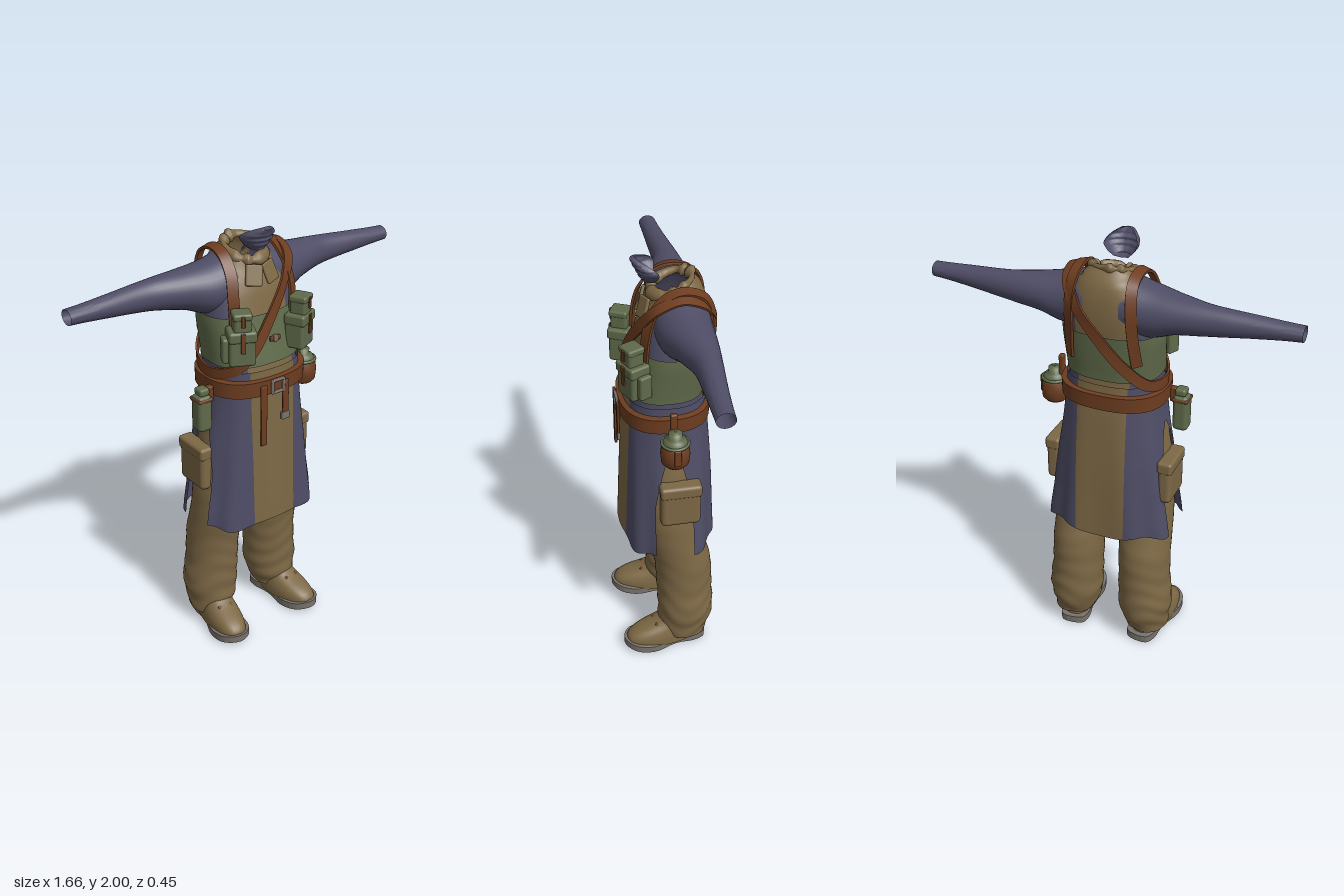
import * as THREE from 'three';
import { mergeVertices, toCreasedNormals } from 'three/addons/utils/BufferGeometryUtils.js';
import { RoundedBoxGeometry } from 'three/addons/geometries/RoundedBoxGeometry.js';

const mat = (name, color) => {
  const m = new THREE.MeshStandardMaterial({ color, side: THREE.DoubleSide });
  m.name = name;
  return m;
};
const { PI, sin, cos, abs, sign, pow, min, max, acos } = Math;

// Surface from a rule fn(u, v) -> [x, y, z], smooth except at sharp edges
function grid(fn, nu, nv, crease = 0.9) {
  const pos = [], idx = [];
  for (let j = 0; j <= nv; j++) for (let i = 0; i <= nu; i++) pos.push(...fn(i / nu, j / nv));
  for (let j = 0; j < nv; j++) for (let i = 0; i < nu; i++) {
    const a = j * (nu + 1) + i, b = a + 1, c = a + nu + 1, d = c + 1;
    idx.push(a, c, b, b, c, d);
  }
  const g = new THREE.BufferGeometry();
  g.setAttribute('position', new THREE.Float32BufferAttribute(pos, 3));
  g.setIndex(idx);
  return toCreasedNormals(mergeVertices(g, 1e-4), crease);
}

// Smooth interpolation of rows [key, ...values]
function profile(rows) {
  return (k) => {
    let i = 0;
    while (i < rows.length - 2 && (k - rows[i + 1][0]) * (rows[1][0] - rows[0][0]) > 0) i++;
    const b = rows[i], c = rows[i + 1], a = rows[i - 1] || b, d = rows[i + 2] || c;
    const t = min(1, max(0, (k - b[0]) / (c[0] - b[0])));
    return b.slice(1).map((_, n) => {
      const [p, q, r, s] = [a[n + 1], b[n + 1], c[n + 1], d[n + 1]];
      return q + 0.5 * t * (r - p + t * (2 * p - 5 * q + 4 * r - s + t * (3 * (q - r) + s - p)));
    });
  };
}
const E = 0.8; // squareness of the body cross-sections
const se = (v) => sign(v) * pow(abs(v), E);

// Torso and skirt rows: y, centre z, radius x, radius z
const torso = profile([[1.3, 0, 0.215, 0.175], [1.4, 0, 0.205, 0.165], [1.5, -0.015, 0.21, 0.158], [1.6, -0.03, 0.215, 0.152],
  [1.7, -0.045, 0.2, 0.145], [1.78, -0.052, 0.17, 0.132], [1.84, -0.05, 0.135, 0.11], [1.88, -0.035, 0.09, 0.085]]);
const skirt = profile([[0.63, -0.008, 0.312, 0.212], [0.8, -0.008, 0.287, 0.207], [1.0, -0.008, 0.26, 0.2],
  [1.2, -0.005, 0.23, 0.19], [1.39, 0, 0.215, 0.178]]);
const tilt = (y, z, cz) => y - 0.35 * (z - cz) * min(1, max(0, (y - 1.72) / 0.16));
const stripe = (sec, half) => (y) => acos(pow(min(1, half / sec(y)[1]), 1 / E));

// Part of a body section between two angles
function panel(sec, y0, y1, a0, a1, off = 0, wave = 0, nu = 20, nv = 24) {
  return grid((u, v) => {
    const y = y0 + (y1 - y0) * v, [cz, rx, rz] = sec(y), s = a0(y), a = s + (a1(y) - s) * u;
    const w = 1 + wave * (1 - v) * sin(a * 9);
    const z = cz + (rz + off) * se(sin(a)) * w;
    const hem = wave * (1 - v) * 0.4 * sin(a * 5);
    return [(rx + off) * se(cos(a)) * w, tilt(y, z, cz) + hem, z];
  }, nu, nv);
}

// Flat strap swept along points, facing away from the body
function strap(pts, width, thick = 0.012, closed = false) {
  const c = new THREE.CatmullRomCurve3(pts.map((p) => new THREE.Vector3(...p)), closed);
  const corner = [[-1, 0], [-1, 1], [1, 1], [1, 0], [-1, 0]];
  return grid((u, v) => {
    const p = c.getPoint(v), t = c.getTangent(v);
    const n = new THREE.Vector3(p.x * 0.5, max(0, p.y - 1.74) * 2, p.z + 0.05);
    n.addScaledVector(t, -n.dot(t)).normalize();
    const b = t.clone().cross(n), k = corner[Math.round(u * 4)];
    return p.addScaledVector(b, k[0] * width / 2).addScaledVector(n, k[1] * thick).toArray();
  }, 4, 60, 0.6);
}

export function createModel() {
  const root = new THREE.Group();
  root.name = 'outfit';
  const blue = mat('slate blue cloth', 0x4f4d66), tan = mat('tan cloth', 0x7d6845), green = mat('olive canvas', 0x5f6a4a);
  const brown = mat('brown leather', 0x6e3d20), grey = mat('grey metal and rubber', 0x77726c);
  const add = (name, geo, m, x = 0, y = 0, z = 0, parent = root) => {
    const o = new THREE.Mesh(geo, m);
    o.name = name;
    o.position.set(x, y, z);
    parent.add(o);
    return o;
  };
  const box = (w, h, d, r = 0.01) => new RoundedBoxGeometry(w, h, d, 2, min(r, w / 2.1, h / 2.1, d / 2.1));

  // Torso: tan centre front and back, blue flanks, green chest band
  const ts = stripe(torso, 0.118);
  add('vestFront', panel(torso, 1.3, 1.88, ts, (y) => PI - ts(y)), tan);
  add('vestBack', panel(torso, 1.3, 1.88, (y) => PI + ts(y), (y) => 2 * PI - ts(y)), tan);
  add('leftFlank', panel(torso, 1.3, 1.88, (y) => -ts(y), ts), blue);
  add('rightFlank', panel(torso, 1.3, 1.88, (y) => PI - ts(y), (y) => PI + ts(y)), blue);
  add('chestBand', panel(torso, 1.41, 1.625, () => 0, () => 2 * PI, 0.008, 0, 64, 10), green);

  // Crumpled collar around the tilted neck opening
  add('collar', grid((u, v) => {
    const a = u * 2 * PI, b = v * 2 * PI, r = 0.019 + 0.006 * sin(a * 7 + 2 * sin(a * 3));
    const R = 0.086 + r * cos(b), z = R * sin(a);
    return [R * cos(a), 1.872 - 0.35 * z + r * 1.1 * sin(b), -0.035 + z];
  }, 64, 10), tan);
  for (const s of [-1, 1]) {
    const flap = add('collarFlap', box(0.075, 0.09, 0.016, 0.007), tan, s * 0.042, 1.79, 0.088);
    flap.rotation.set(-0.35, s * 0.25, s * 0.25);
  }

  // Sleeves: x, centre y, centre z, radius y, radius z
  const sleeve = profile([[0.08, 1.74, -0.06, 0.125, 0.125], [0.2, 1.727, -0.065, 0.112, 0.115], [0.3, 1.737, -0.08, 0.086, 0.092],
    [0.45, 1.742, -0.096, 0.066, 0.06], [0.65, 1.746, -0.087, 0.047, 0.046], [0.83, 1.748, -0.08, 0.033, 0.039]]);
  // Legs: y, centre x, centre z, radius x, radius z
  const leg = profile([[0.07, 0.19, -0.07, 0.1, 0.105], [0.15, 0.18, -0.077, 0.118, 0.128], [0.22, 0.18, -0.08, 0.128, 0.132],
    [0.35, 0.172, -0.075, 0.122, 0.132], [0.5, 0.168, -0.065, 0.122, 0.133], [0.65, 0.163, -0.03, 0.123, 0.13],
    [0.8, 0.15, -0.01, 0.13, 0.135], [1, 0.13, 0, 0.125, 0.14], [1.25, 0.11, 0, 0.105, 0.145]]);
  // Boot upper: y, back z, front z, half width
  const boot = profile([[0.03, -0.13, 0.235, 0.083], [0.07, -0.13, 0.23, 0.082], [0.1, -0.13, 0.19, 0.076],
    [0.135, -0.12, 0.1, 0.068], [0.18, -0.11, 0.04, 0.064]]);
  const half = [[0.05, -0.145], [0.07, -0.09], [0.064, 0], [0.088, 0.12], [0.07, 0.205], [0.02, 0.245]];
  const outline = [...half, ...half.slice().reverse().map(([x, z]) => [-x, z])].map(([x, z]) => new THREE.Vector2(x, -z));
  const soleShape = new THREE.Shape(new THREE.CatmullRomCurve3(outline.map((p) => new THREE.Vector3(p.x, p.y, 0)), true)
    .getPoints(48).map((p) => new THREE.Vector2(p.x, p.y)));

  for (const s of [-1, 1]) {
    const side = s > 0 ? 'left' : 'right';
    add(side + 'Sleeve', grid((u, v) => {
      const x = 0.08 + 0.75 * v, [cy, cz, ry, rz] = sleeve(x), a = u * 2 * PI;
      return [s * x, cy + ry * sin(a), cz + rz * cos(a)];
    }, 32, 32), blue);

    // Trouser leg with folds gathering toward the ankle
    add(side + 'Leg', grid((u, v) => {
      const y = 0.07 + 1.18 * v, [cx, cz, rx, rz] = leg(y), a = u * 2 * PI;
      const fold = 1 + (y < 0.6 ? 0.03 * (1 - y / 0.65) : 0.003) * sin(y * 62 + 2.2 * sin(a * 2 + y * 6) + cos(a * 3));
      return [s * (cx + rx * cos(a) * fold), y, cz + rz * sin(a) * fold];
    }, 40, 80), tan);

    // Boot, turned slightly outward
    const b = new THREE.Group();
    b.name = side + 'Boot';
    b.position.set(s * 0.19, 0, -0.02);
    b.rotation.y = s * 0.13;
    root.add(b);
    add('bootUpper', grid((u, v) => {
      const y = 0.03 + 0.15 * v, [z0, z1, w] = boot(y), a = u * 2 * PI;
      return [w * se(cos(a)), y, (z0 + z1) / 2 + (z1 - z0) / 2 * sin(a)];
    }, 36, 14), tan, 0, 0, 0, b);
    const soleGeo = new THREE.ExtrudeGeometry(soleShape, { depth: 0.035, bevelEnabled: false }).rotateX(-PI / 2);
    const sp = soleGeo.attributes.position;
    for (let i = 0; i < sp.count; i++) sp.setY(i, sp.getY(i) + 0.35 * pow(max(0, sp.getZ(i) - 0.1), 1.5));
    soleGeo.computeVertexNormals();
    add('sole', soleGeo, grey, 0, 0.004, 0, b);
    add('heel', box(0.12, 0.02, 0.1, 0.008), grey, 0, 0.01, -0.085, b);
    for (const k of [0, 1, 2]) {
      const lace = add('lace', box(0.075, 0.012, 0.014, 0.005), brown, 0, 0.148 - k * 0.018, 0.06 + k * 0.035, b);
      lace.rotation.x = 0.45;
    }

    // Thigh pouch with flap
    add(side + 'ThighPouch', box(0.065, 0.2, 0.18, 0.022), tan, s * 0.272, 0.91, -0.032);
    add(side + 'ThighFlap', box(0.072, 0.06, 0.186, 0.015), tan, s * 0.273, 0.995, -0.032);

    // Shoulder harness strap, front to back
    add(side + 'HarnessStrap', strap([[0.15, 1.6, 0.1], [0.15, 1.72, 0.088], [0.14, 1.8, 0.062], [0.134, 1.868, 0], [0.13, 1.885, -0.07],
      [0.13, 1.855, -0.15], [0.135, 1.77, -0.183], [0.14, 1.65, -0.178], [0.15, 1.5, -0.15]].map(([x, y, z]) => [s * x, y, z]), 0.048), brown);

    // Chest pouches with flaps and small leather tabs
    const p = new THREE.Group();
    p.name = side + 'ChestPouches';
    p.position.set(s * 0.155, 1.52, 0.15);
    p.rotation.y = s * 0.45;
    root.add(p);
    add('largePouch', box(0.115, 0.15, 0.09, 0.014), green, 0, 0, 0, p);
    add('largeFlap', box(0.122, 0.05, 0.098, 0.012), green, 0, 0.058, 0.002, p);
    add('largeTab', box(0.02, 0.09, 0.008, 0.003), brown, 0, 0.035, 0.053, p);
    add('sidePouch', box(0.035, 0.11, 0.06), green, s * 0.066, -0.01, -0.01, p);
    add('smallPouch', box(0.075, 0.085, 0.075, 0.014), green, 0, 0.115, 0.005, p);
    add('smallFlap', box(0.082, 0.03, 0.082), green, 0, 0.147, 0.006, p);
    add('smallTab', box(0.016, 0.05, 0.008, 0.003), brown, 0, 0.13, 0.049, p);
  }
  add('chestClip', box(0.055, 0.022, 0.012, 0.004), brown, 0.02, 1.515, 0.155);
  add('chestBuckle', box(0.02, 0.03, 0.016, 0.004), grey, 0.02, 1.515, 0.157);

  // Diagonal strap around the body
  add('bandolier', strap([[0.17, 1.872, -0.05], [0.16, 1.83, 0.05], [0.1, 1.74, 0.103], [0, 1.61, 0.143], [-0.1, 1.48, 0.155],
    [-0.17, 1.405, 0.125], [-0.222, 1.375, 0.02], [-0.19, 1.4, -0.12], [-0.1, 1.5, -0.185], [0, 1.62, -0.203],
    [0.1, 1.75, -0.198], [0.16, 1.84, -0.14]], 0.05, 0.01, true), brown);

  // Skirt: front and back panels, slit at the sides
  const ss = stripe(skirt, 0.115);
  const gap = (y) => 0.34 * pow(min(1, max(0, (1.17 - y) / 0.28)), 0.7);
  for (const [name, r] of [['front', 0], ['back', PI]]) {
    const sk = (n, a0, a1, m) => add(name + n, panel(skirt, 0.63, 1.39, (y) => r + a0(y), (y) => r + a1(y), 0, 0.03, 18, 40), m);
    sk('SkirtSideA', gap, ss, blue);
    sk('SkirtCentre', ss, (y) => PI - ss(y), tan);
    sk('SkirtSideB', (y) => PI - ss(y), (y) => PI - gap(y), blue);
  }

  // Belt with buckle and hanging ends
  add('belt', grid((u, v) => {
    const a = u * 2 * PI, k = [[0.218, 1.275], [0.24, 1.28], [0.242, 1.35], [0.214, 1.355], [0.218, 1.275]][Math.round(v * 4)];
    return [k[0] * se(cos(a)), k[1], (k[0] - 0.042) * se(sin(a))];
  }, 64, 4), brown);
  for (const s of [-1, 1]) {
    add('buckleSide', box(0.012, 0.065, 0.014, 0.004), grey, s * 0.03, 1.315, 0.206);
    add('buckleBar', box(0.065, 0.012, 0.014, 0.004), grey, 0, 1.315 + s * 0.028, 0.206);
  }
  add('longBeltEnd', box(0.032, 0.29, 0.012, 0.004), brown, -0.073, 1.185, 0.202);
  add('shortBeltEnd', box(0.032, 0.16, 0.012, 0.004), brown, 0.042, 1.25, 0.205);
  add('beltEndTip', box(0.04, 0.035, 0.016, 0.004), grey, 0.042, 1.158, 0.205);

  // Canteen in a leather cup on the left hip
  const lathe = (pts) => new THREE.LatheGeometry(pts.map((p) => new THREE.Vector2(...p)), 28);
  add('canteenCup', lathe([[0, 1.165], [0.045, 1.168], [0.06, 1.185], [0.064, 1.225], [0.06, 1.265], [0.05, 1.27]]), brown, 0.305, 0, 0);
  add('canteen', lathe([[0.054, 1.255], [0.056, 1.28], [0.045, 1.3], [0.03, 1.305], [0.03, 1.33], [0, 1.332]]), green, 0.305, 0, 0);
  add('canteenRim', new THREE.TorusGeometry(0.057, 0.007, 8, 28).rotateX(PI / 2), green, 0.305, 1.28, 0);
  add('canteenTab', box(0.012, 0.08, 0.03, 0.004), brown, 0.368, 1.24, 0);
  add('canteenHanger', box(0.024, 0.15, 0.03, 0.006), brown, 0.268, 1.325, 0);

  // Slim flask on the right hip
  add('flask', box(0.07, 0.17, 0.075, 0.02), green, -0.29, 1.21, 0.045);
  add('flaskCap', box(0.05, 0.035, 0.055, 0.012), green, -0.287, 1.31, 0.045);
  add('flaskBand', box(0.074, 0.016, 0.079, 0.006), brown, -0.29, 1.275, 0.045);
  add('flaskHanger', box(0.03, 0.07, 0.03, 0.006), brown, -0.25, 1.29, 0.045);

  // Cloth mask over the lower face, open at the back
  const mask = profile([[1.885, 0.045, 0.03, 0.035], [1.92, 0.04, 0.06, 0.06], [1.95, 0.045, 0.076, 0.068],
    [1.975, 0.075, 0.06, 0.052], [2, 0.115, 0.022, 0.02]]);
  add('faceMask', grid((u, v) => {
    const y = 1.885 + 0.115 * v, [cz, rx, rz] = mask(y), a = -0.25 + u * (PI + 0.5), k = min(1, min(v, 1 - v) * 14);
    const f = k * (1 + 0.05 * sin(y * 260) * max(0, sin(a)));
    return [rx * f * cos(a), y, cz + rz * f * sin(a)];
  }, 28, 28), blue);
  return root;
}
